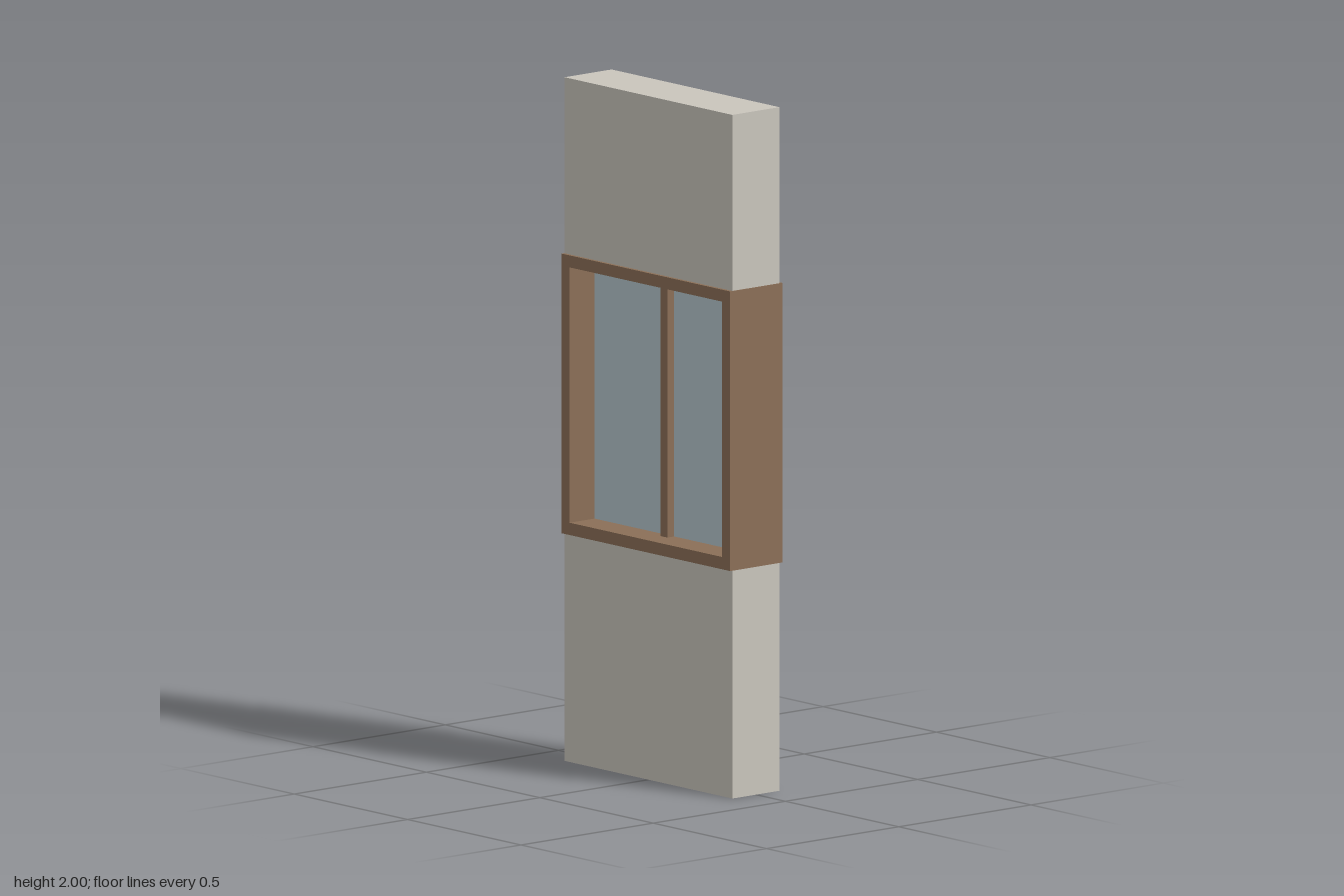
import * as THREE from 'three';

const wallMat = new THREE.MeshStandardMaterial({ color: 0xc9c5bc });
wallMat.name = 'plaster';
const woodMat = new THREE.MeshStandardMaterial({ color: 0x8b6f57 });
woodMat.name = 'brown wood';
const glassMat = new THREE.MeshStandardMaterial({ color: 0xb5c5cb });
glassMat.name = 'pale blue glass';

// Window frame, outer edges and opening
const HALF_W = 0.372, BOTTOM = 0.667, TOP = 1.485, DEPTH = 0.198;
const OPEN_W = 0.336, OPEN_BOTTOM = 0.703, OPEN_TOP = 1.45;

// Box spanning x0..x1 and y0..y1, centred on z = 0
function slab(name, material, x0, x1, y0, y1, depth) {
  const mesh = new THREE.Mesh(new THREE.BoxGeometry(x1 - x0, y1 - y0, depth), material);
  mesh.position.set((x0 + x1) / 2, (y0 + y1) / 2, 0);
  mesh.name = name;
  return mesh;
}

function rectanglePoints(halfW, y0, y1) {
  return [[-halfW, y0], [halfW, y0], [halfW, y1], [-halfW, y1]].map(([x, y]) => new THREE.Vector2(x, y));
}

export function createModel() {
  const model = new THREE.Group();
  model.name = 'windowWallPanel';

  // Wall below and above the window
  model.add(slab('lowerWall', wallMat, -0.37, 0.37, 0, BOTTOM, 0.178));
  model.add(slab('upperWall', wallMat, -0.37, 0.37, TOP, 2, 0.178));

  // Deep frame with a rectangular opening
  const outline = new THREE.Shape(rectanglePoints(HALF_W, BOTTOM, TOP));
  outline.holes.push(new THREE.Path(rectanglePoints(OPEN_W, OPEN_BOTTOM, OPEN_TOP).reverse()));
  const frameGeo = new THREE.ExtrudeGeometry(outline, { depth: DEPTH, bevelEnabled: false });
  frameGeo.translate(0, 0, -DEPTH / 2);
  const frame = new THREE.Mesh(frameGeo, woodMat);
  frame.name = 'windowFrame';
  model.add(frame);

  // Centre mullion with a pane on each side
  model.add(slab('mullion', woodMat, -0.015, 0.015, OPEN_BOTTOM, OPEN_TOP, 0.06));
  model.add(slab('rightPane', glassMat, -OPEN_W, -0.015, OPEN_BOTTOM, OPEN_TOP, 0.009));
  model.add(slab('leftPane', glassMat, 0.015, OPEN_W, OPEN_BOTTOM, OPEN_TOP, 0.009));

  return model;
}
